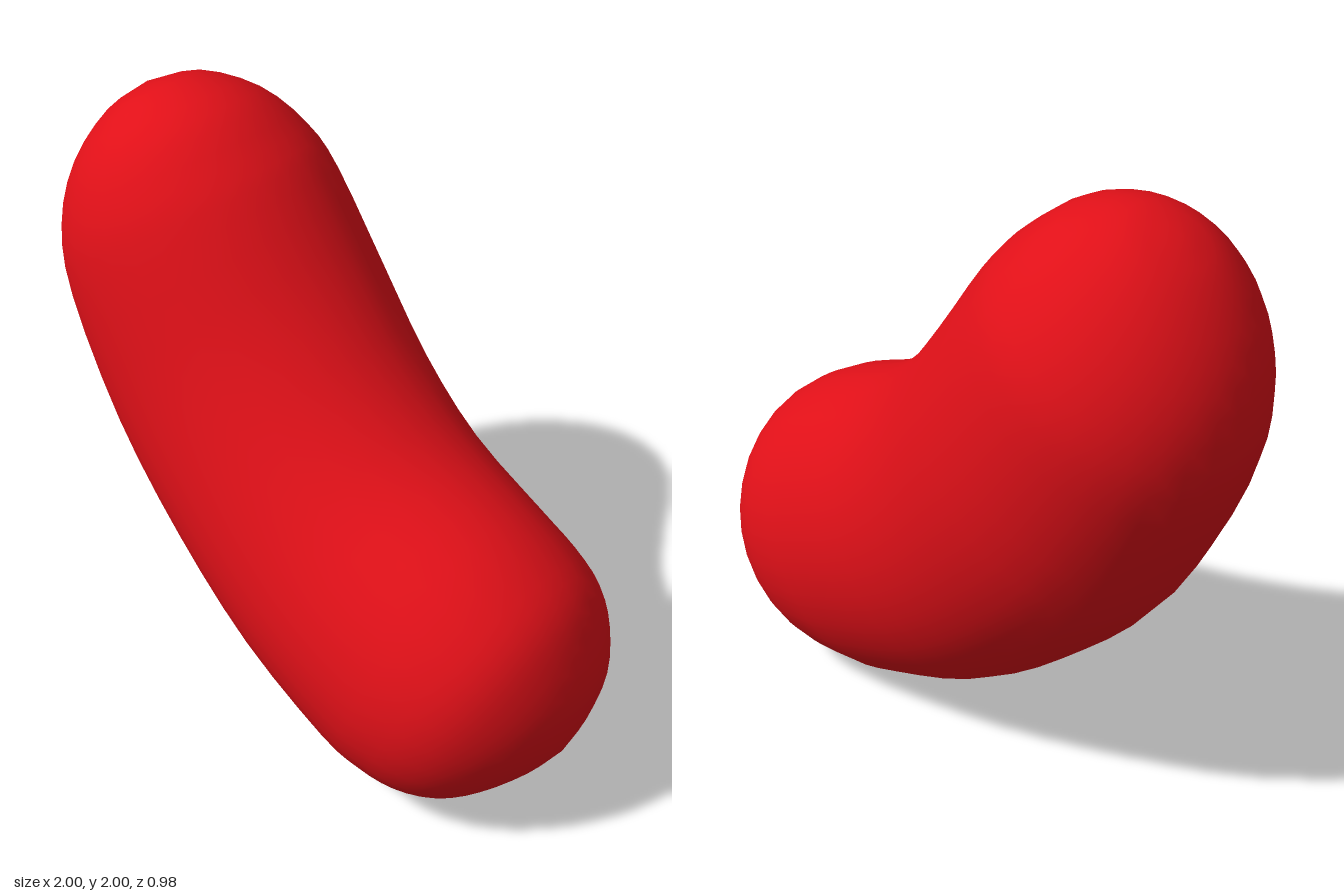
import * as THREE from 'three';

// Sections from upper to lower end:
// outer edge x, y, inner edge x, y, half depth, z offset
const SECTIONS = [
  [-0.745, 1.947, -0.745, 1.947, 0, 0],
  [-0.86, 1.84, -0.60, 2.0, 0.15, -0.01],
  [-0.96, 1.66, -0.42, 1.97, 0.30, -0.02],
  [-1.0, 1.45, -0.28, 1.87, 0.40, -0.035],
  [-0.955, 1.2, -0.18, 1.765, 0.44, -0.04],
  [-0.75, 0.80, 0, 1.52, 0.455, -0.035],
  [-0.45, 0.48, 0.19, 1.30, 0.455, -0.01],
  [-0.11, 0.215, 0.40, 1.135, 0.455, 0.015],
  [0.25, 0.04, 0.66, 1.015, 0.455, 0.035],
  [0.40, 0.008, 0.80, 0.935, 0.45, 0.035],
  [0.53, 0, 0.90, 0.85, 0.425, 0.03],
  [0.66, 0.03, 0.96, 0.74, 0.365, 0.025],
  [0.77, 0.1, 1.0, 0.58, 0.265, 0.015],
  [0.88, 0.2, 0.985, 0.42, 0.125, 0.005],
  [0.95, 0.297, 0.95, 0.297, 0, 0],
];

function beanGeometry(sides = 32, steps = 3) {
  const curve = (f) => new THREE.CatmullRomCurve3(SECTIONS.map(f), false, 'catmullrom');
  const outer = curve((s) => new THREE.Vector3(s[0], s[1], s[4]));
  const inner = curve((s) => new THREE.Vector3(s[2], s[3], s[5]));
  const rows = (SECTIONS.length - 1) * steps;
  const pos = [], index = [];

  // Elliptical rings between the two ends
  for (let i = 1; i < rows; i++) {
    const a = outer.getPoint(i / rows), b = inner.getPoint(i / rows);
    for (let j = 0; j < sides; j++) {
      const t = (j / sides) * Math.PI * 2, c = Math.cos(t);
      pos.push((a.x + b.x) / 2 + (b.x - a.x) / 2 * c,
        (a.y + b.y) / 2 + (b.y - a.y) / 2 * c,
        b.z + a.z * Math.sin(t));
    }
  }
  // Single points closing both ends
  const rings = rows - 1, top = rings * sides, bottom = top + 1;
  const first = SECTIONS[0], last = SECTIONS[SECTIONS.length - 1];
  pos.push(first[0], first[1], 0, last[0], last[1], 0);

  for (let j = 0; j < sides; j++) {
    const k = (j + 1) % sides;
    for (let i = 0; i < rings - 1; i++) {
      const p = i * sides, q = p + sides;
      index.push(p + j, p + k, q + j, p + k, q + k, q + j);
    }
    const e = (rings - 1) * sides;
    index.push(top, k, j, e + j, e + k, bottom);
  }
  const geo = new THREE.BufferGeometry();
  geo.setAttribute('position', new THREE.Float32BufferAttribute(pos, 3));
  geo.setIndex(index);
  geo.computeVertexNormals();
  return geo;
}

export function createModel() {
  const group = new THREE.Group();
  group.name = 'jellyBean';
  const bean = new THREE.Mesh(beanGeometry(), new THREE.MeshStandardMaterial({ color: 0xe01018 }));
  bean.name = 'bean';
  group.add(bean);
  return group;
}
